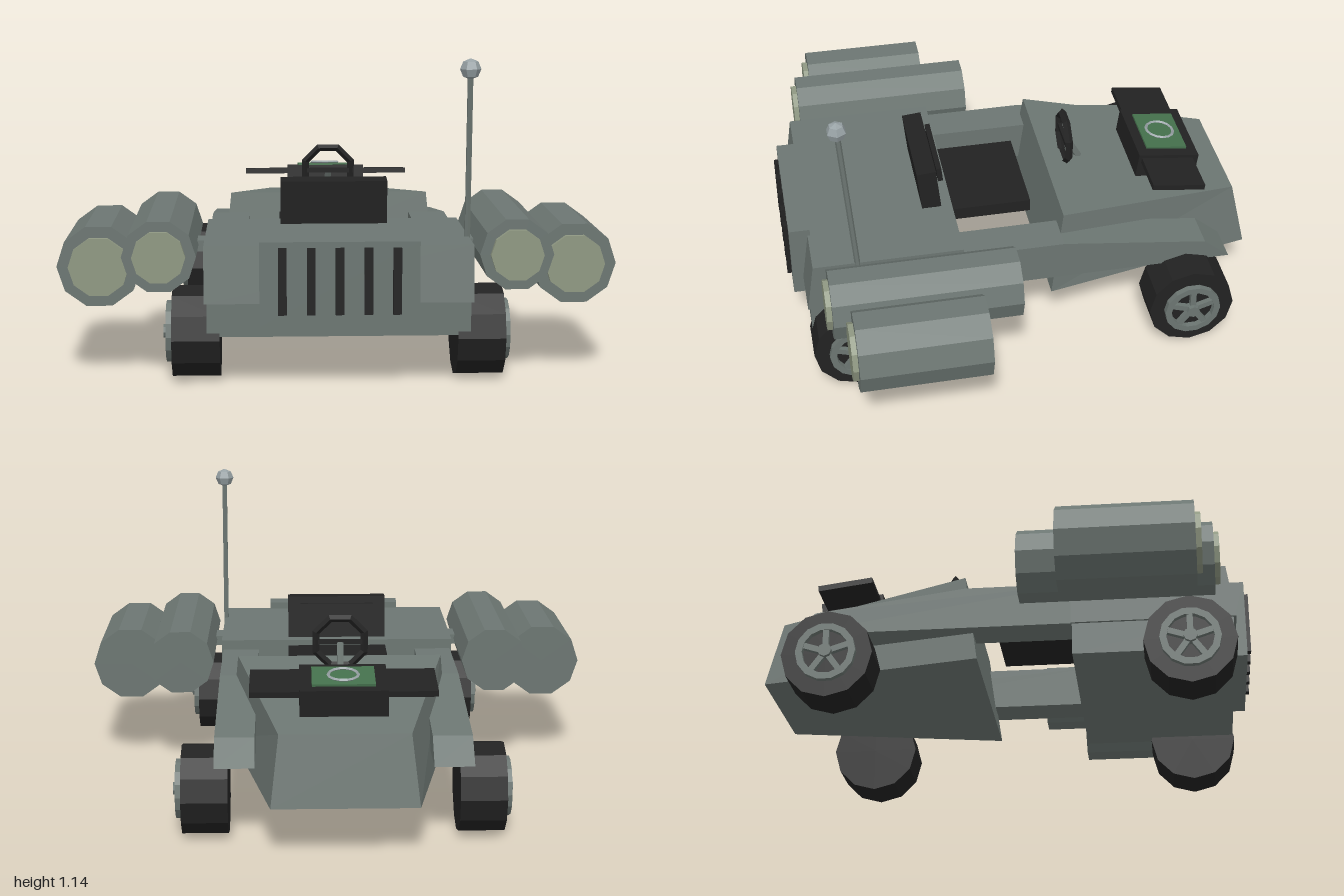
import * as THREE from 'three';

const flat = (name, color) => {
  const m = new THREE.MeshStandardMaterial({ color, flatShading: true });
  m.name = name;
  return m;
};

export function createModel() {
  const body = flat('body grey', 0x6c7672);
  const black = flat('black', 0x222222);
  const lens = flat('lamp glass', 0x8f9882);
  const green = flat('screen green', 0x44704c);
  const pale = flat('pale metal', 0x98a2a5);

  const model = new THREE.Group();
  model.name = 'buggy';

  const add = (name, geo, mat, x = 0, y = 0, z = 0, parent = model) => {
    const mesh = new THREE.Mesh(geo, mat);
    mesh.name = name;
    mesh.position.set(x, y, z);
    parent.add(mesh);
    return mesh;
  };
  const box = (w, h, d) => new THREE.BoxGeometry(w, h, d);

  // Side profile of [z, y] points, extruded across from x0 to x1
  const profile = (pts, x0, x1) => {
    const shape = new THREE.Shape(pts.map(([z, y]) => new THREE.Vector2(z, y)));
    const geo = new THREE.ExtrudeGeometry(shape, { depth: x1 - x0, bevelEnabled: false });
    return geo.rotateY(-Math.PI / 2).translate(x1, 0, 0);
  };

  // Straight rod between two points
  const rod = (name, a, b, r, mat, sides = 6) => {
    const from = new THREE.Vector3(...a), to = new THREE.Vector3(...b);
    const dir = to.clone().sub(from);
    const mid = from.clone().add(to).multiplyScalar(0.5);
    const mesh = add(name, new THREE.CylinderGeometry(r, r, dir.length(), sides), mat, mid.x, mid.y, mid.z);
    mesh.quaternion.setFromUnitVectors(new THREE.Vector3(0, 1, 0), dir.normalize());
  };

  // Main deck and belly
  add('deck', profile([[0.26, 0.3], [0.86, 0.3], [0.83, 0.5], [0.26, 0.5]], -0.475, 0.475), body);
  add('belly', profile([[0.263, 0.18], [0.85, 0.18], [0.85, 0.31], [0.263, 0.31]], -0.465, 0.465), body);

  // Tapered cowl: a box with its corners moved to the hull's corners
  const cowl = box(2, 2, 2);
  const p = cowl.attributes.position;
  for (let i = 0; i < p.count; i++) {
    const cabin = p.getZ(i) > 0, top = p.getY(i) > 0;
    const half = cabin ? (top ? 0.395 : 0.43) : (top ? 0.235 : 0.265);
    const y = top ? (cabin ? 0.54 : 0.45) : 0.193;
    const z = cabin ? (top ? -0.14 : -0.09) : (top ? -0.865 : -0.92);
    p.setXYZ(i, Math.sign(p.getX(i)) * half, y, z);
  }
  cowl.computeVertexNormals();
  add('cowl', cowl, body);

  // Grille with five slots
  add('grillePanel', box(0.56, 0.3, 0.08), body, 0, 0.376, 0.86);
  for (let i = -2; i <= 2; i++) add('grilleSlot', box(0.03, 0.235, 0.03), black, i * 0.1, 0.388, 0.902);

  // Seat
  add('seatCushion', box(0.4, 0.05, 0.31), black, 0, 0.452, 0.105);
  const back = add('seatBack', box(0.4, 0.17, 0.075), black, 0, 0.582, 0.348);
  const pad = add('seatPad', box(0.3, 0.06, 0.02), black, 0, 0.615, 0.298);
  back.rotation.x = pad.rotation.x = 0.1;

  // Steering wheel and column
  add('steeringWheel', new THREE.TorusGeometry(0.1, 0.015, 4, 8).rotateZ(Math.PI / 8), black, 0, 0.618, -0.227);
  add('steeringSpoke', box(0.2, 0.018, 0.015), black, 0, 0.618, -0.227);
  rod('steeringColumn', [0, 0.615, -0.232], [0, 0.51, -0.29], 0.014, body);

  // Console with wing plates and a ringed screen, tilted with the cowl
  const console = new THREE.Group();
  console.name = 'console';
  console.position.set(0, 0.537, -0.612);
  console.rotation.x = -0.13;
  model.add(console);
  add('consoleBox', box(0.32, 0.1, 0.245), black, 0, 0, 0, console);
  add('consoleWings', box(0.68, 0.022, 0.21), black, 0, 0.026, 0.005, console);
  add('screen', box(0.23, 0.009, 0.165), green, 0, 0.054, 0, console);
  add('screenRing', new THREE.TorusGeometry(0.055, 0.006, 4, 14).rotateX(Math.PI / 2), pale, 0, 0.062, 0, console);

  // Antenna
  rod('antennaMast', [0.47, 0.46, 0.66], [0.47, 1.09, 0.703], 0.011, body);
  add('antennaTip', new THREE.SphereGeometry(0.038, 6, 4), pale, 0.47, 1.107, 0.705);

  // Wheel with its axle along x; outer side faces +x
  const wheel = (z, side) => {
    const g = new THREE.Group();
    g.name = 'wheel';
    g.position.set(side * 0.505, 0.167, z);
    if (side < 0) g.rotation.y = Math.PI;
    model.add(g);
    add('tyre', new THREE.CylinderGeometry(0.167, 0.167, 0.17, 12).rotateZ(Math.PI / 2), black, 0, 0, 0, g);
    const ring = new THREE.Shape().absarc(0, 0, 0.11, 0, Math.PI * 2);
    ring.holes.push(new THREE.Path().absarc(0, 0, 0.085, 0, Math.PI * 2, true));
    const rim = new THREE.ExtrudeGeometry(ring, { depth: 0.025, bevelEnabled: false, curveSegments: 7 });
    add('rim', rim.rotateY(Math.PI / 2), body, 0.083, 0, 0, g);
    add('hub', new THREE.CylinderGeometry(0.025, 0.025, 0.04, 8).rotateZ(Math.PI / 2), body, 0.1, 0, 0, g);
    for (let i = 0; i < 5; i++) {
      const spoke = add('spoke', box(0.02, 0.085, 0.022).translate(0, 0.05, 0), body, 0.095, 0, 0, g);
      spoke.rotation.x = i * Math.PI * 0.4;
    }
  };

  // Ten-sided lamp pod with a glass disc at its front
  const pod = (name, x, y, r, z0, z1, lensR) => {
    const tube = (radius, len) =>
      new THREE.CylinderGeometry(radius, radius, len, 10).rotateY(Math.PI / 2).rotateX(Math.PI / 2);
    add(name, tube(r, z1 - z0), body, x, y, (z0 + z1) / 2);
    add(name + 'Lens', tube(lensR, 0.04), lens, x, y, z1);
  };

  for (const s of [1, -1]) {
    // Side rails, sloping down into the end fenders
    const rail = [[0.3, 0.46], [-0.13, 0.46], [-0.69, 0.385], [-0.79, 0.3], [0.3, 0.3]].reverse();
    add('sideRail', profile(rail, s > 0 ? 0.322 : -0.468, s > 0 ? 0.468 : -0.322), body);
    wheel(0.69, s);
    wheel(-0.615, s);
    pod('innerPod', s * 0.634, 0.455, 0.132, 0.085, 0.785, 0.095);
    pod('outerPod', s * 0.85, 0.41, 0.15, 0.24, 0.72, 0.108);
    add('podBracket', box(0.08, 0.04, 0.1), body, s * 0.49, 0.45, 0.5);
  }
  return model;
}
